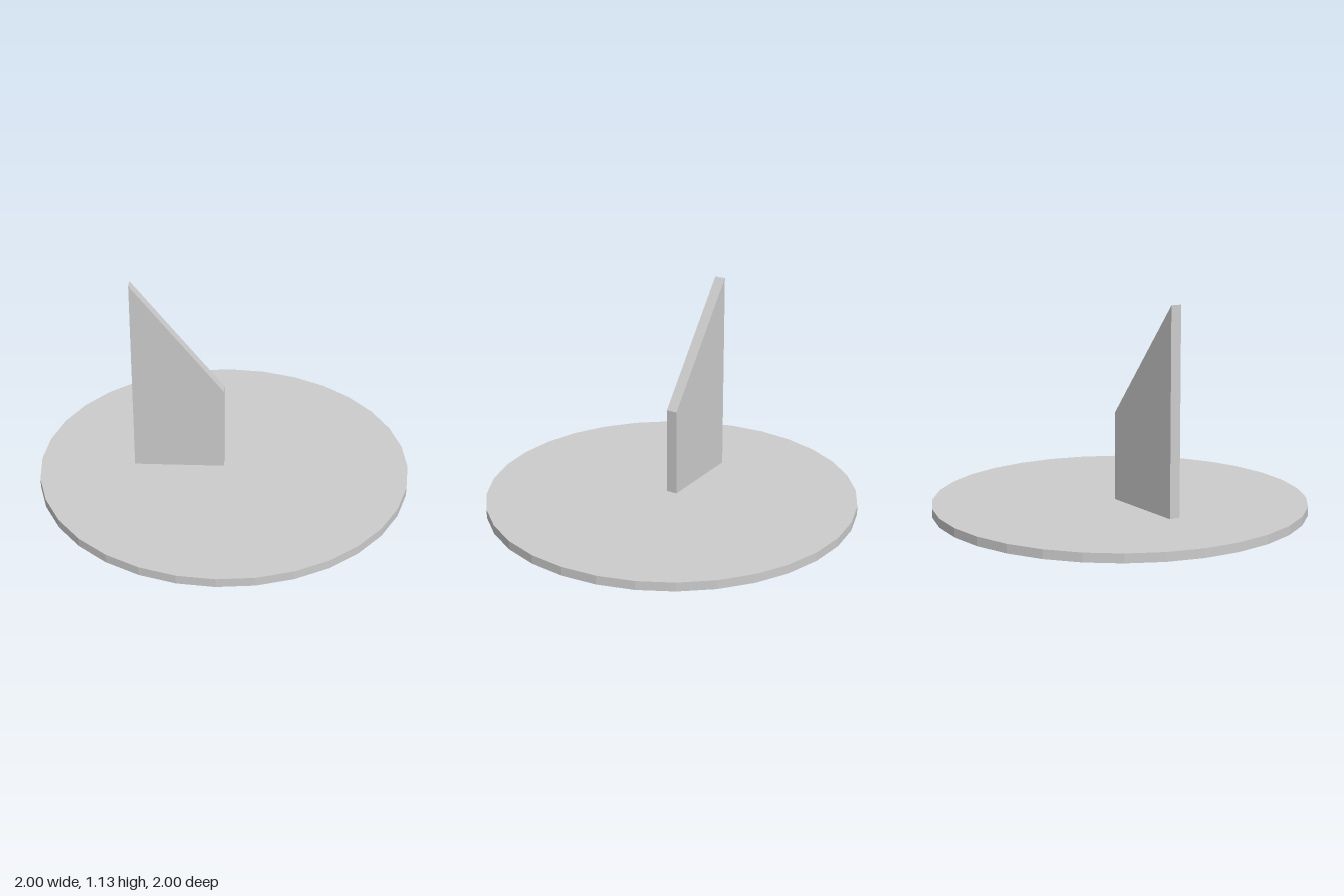
import * as THREE from 'three';

export function createModel() {
  const group = new THREE.Group();
  const material = new THREE.MeshStandardMaterial({ color: 0xcccccc, flatShading: true });
  const plateHeight = 0.048;
  const finThickness = 0.06;

  // Round base plate, 32 sides
  const plate = new THREE.Mesh(new THREE.CylinderGeometry(1, 1, plateHeight, 32), material);
  plate.name = 'basePlate';
  plate.position.y = plateHeight / 2;
  group.add(plate);

  // Upright fin with a sloping top edge, ending at the plate's centre
  const outline = new THREE.Shape([
    new THREE.Vector2(-0.485, plateHeight),
    new THREE.Vector2(0, plateHeight),
    new THREE.Vector2(0, 0.52),
    new THREE.Vector2(-0.485, 1.135),
  ]);
  const finGeometry = new THREE.ExtrudeGeometry(outline, { depth: finThickness, bevelEnabled: false });
  finGeometry.translate(0, 0, -finThickness / 2);
  const fin = new THREE.Mesh(finGeometry, material);
  fin.name = 'slopedFin';
  group.add(fin);

  return group;
}
